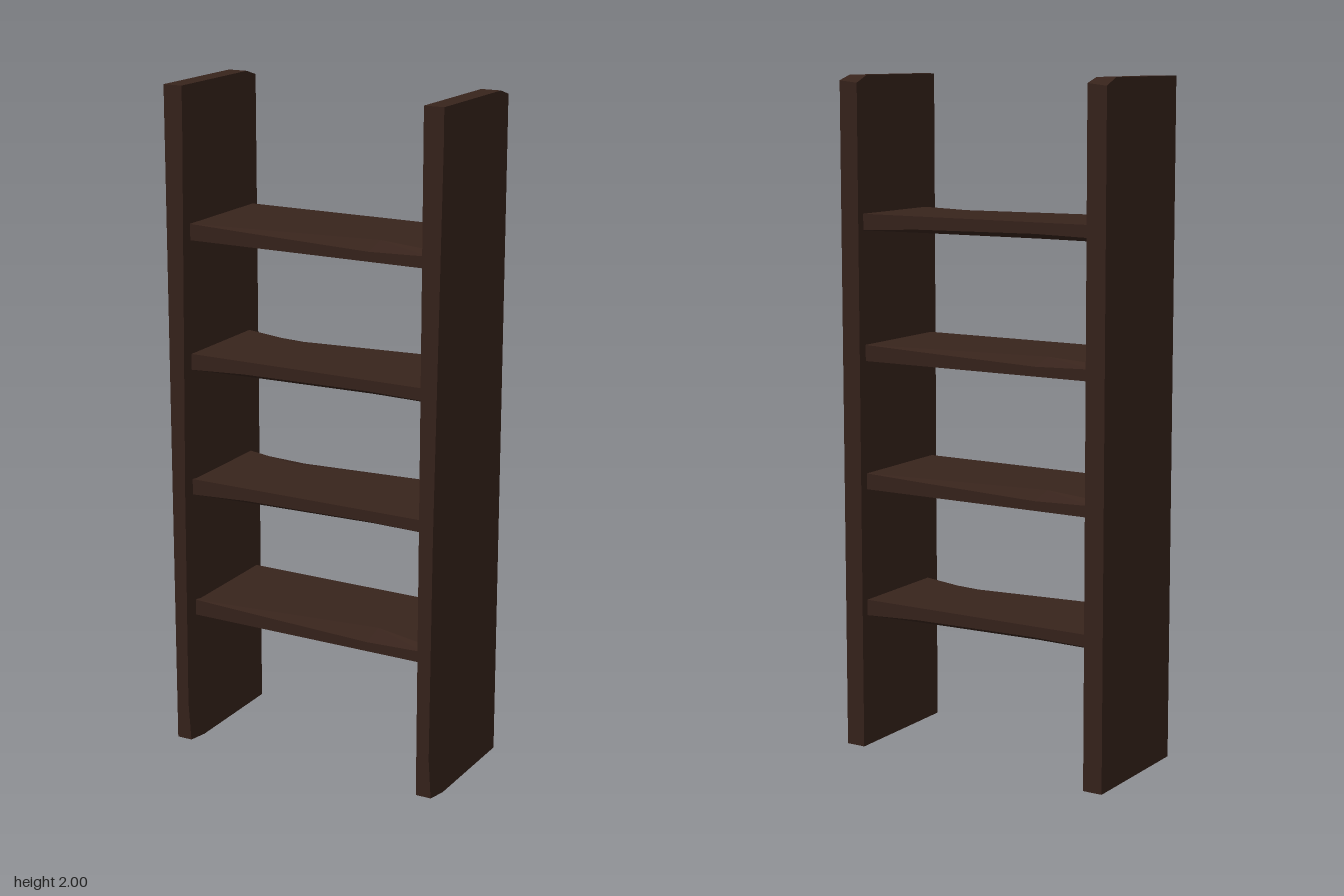
import * as THREE from 'three';

const wood = new THREE.MeshStandardMaterial({ color: 0x38241c, flatShading: true });

// Skins matching rings of [x, y, z] corners and closes both ends.
function loft(rings) {
  const pos = [];
  const tri = (a, b, c) => pos.push(...a, ...b, ...c);
  const n = rings[0].length;
  for (let k = 0; k < rings.length - 1; k++) {
    const a = rings[k], b = rings[k + 1];
    for (let i = 0; i < n; i++) {
      const j = (i + 1) % n;
      tri(a[i], a[j], b[j]);
      tri(a[i], b[j], b[i]);
    }
  }
  const first = rings[0], last = rings[rings.length - 1];
  for (let i = 1; i < n - 1; i++) {
    tri(first[0], first[i + 1], first[i]);
    tri(last[0], last[i], last[i + 1]);
  }
  const geometry = new THREE.BufferGeometry();
  geometry.setAttribute('position', new THREE.Float32BufferAttribute(pos, 3));
  geometry.computeVertexNormals();
  return geometry;
}

// Upright plank: worn front edge tapering upward, clipped top back corner.
function uprightGeometry() {
  const w = 0.03, d = 0.2;
  const ring = (y, chipX, chipZ, drop) => [
    [-w, y, -0.15], [-w, y, d], [w - chipX, y, d], [w, y, d - chipZ],
    [w, y, -0.15], [w, y - drop * 0.7, -d], [-w, y - drop, -d],
  ];
  return loft([
    ring(0, 0.012, 0.055, 0),
    ring(0.12, 0.02, 0.06, 0),
    ring(0.8, 0.016, 0.043, 0),
    ring(1.9, 0, 0, 0),
    ring(2, 0, 0, 0.022),
  ]);
}

// Step plank: shallow wear on the top front edge and the lower back edge.
function stepGeometry() {
  const h = 0.024, front = 0.17, back = -0.175;
  const ring = (x, wearZ, wearY, underZ, underY) => [
    [x, h, front - wearZ], [x, h - wearY, front], [x, -h, front],
    [x, -h, back + underZ], [x, -h + underY, back], [x, h, back],
  ];
  return loft([
    ring(-0.385, 0, 0, 0.03, 0.012),
    ring(-0.2, 0.022, 0.007, 0.035, 0.016),
    ring(0.2, 0.07, 0.02, 0.015, 0.01),
    ring(0.385, 0.02, 0.014, 0, 0),
  ]);
}

export function createModel() {
  const ladder = new THREE.Group();
  ladder.name = 'ladder';

  // Side planks
  const upright = uprightGeometry();
  for (const [name, x] of [['leftUpright', 0.41], ['rightUpright', -0.41]]) {
    const mesh = new THREE.Mesh(upright, wood);
    mesh.name = name;
    mesh.position.x = x;
    ladder.add(mesh);
  }

  // Four steps, the middle two turned around
  const step = stepGeometry();
  for (let i = 0; i < 4; i++) {
    const mesh = new THREE.Mesh(step, wood);
    mesh.name = `step${i + 1}`;
    mesh.position.y = 0.426 + i * 0.384;
    if (i === 1 || i === 2) mesh.rotation.y = Math.PI;
    ladder.add(mesh);
  }
  return ladder;
}
